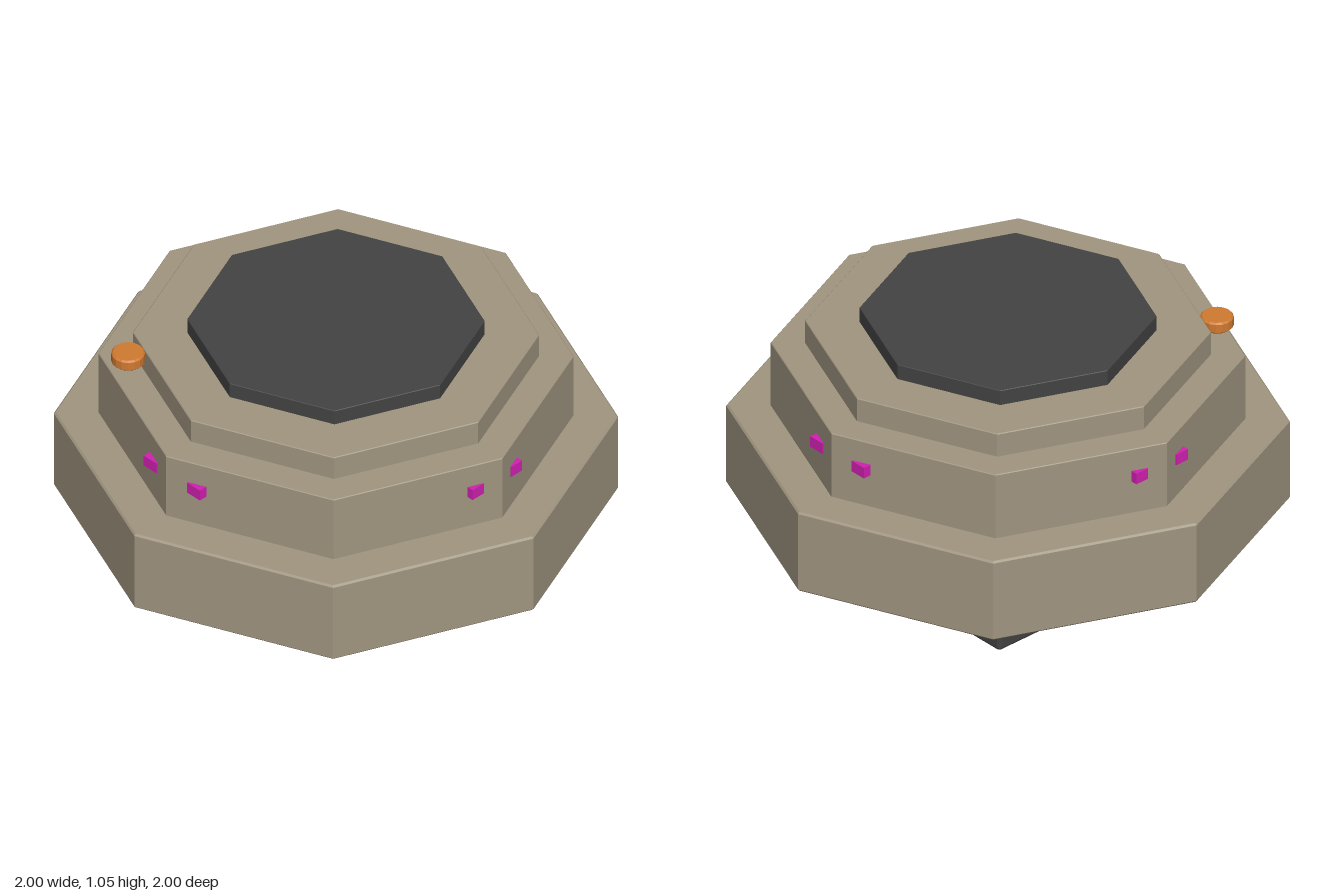
import * as THREE from 'three';
import { RoundedBoxGeometry } from 'three/addons/geometries/RoundedBoxGeometry.js';

export function createModel() {
  const model = new THREE.Group();
  const material = (name, color) => {
    const m = new THREE.MeshStandardMaterial({ color });
    m.name = name;
    return m;
  };
  const taupe = material('taupe', 0xa09580);
  const charcoal = material('charcoal', 0x434343);
  const magenta = material('magenta', 0xd020b0);
  const orange = material('orange', 0xd07a30);

  const add = (name, geometry, mat, x = 0, y = 0, z = 0) => {
    const mesh = new THREE.Mesh(geometry, mat);
    mesh.name = name;
    mesh.position.set(x, y, z);
    model.add(mesh);
  };

  // Closed turned solid with slightly chamfered rims and flat faces
  const turned = (radius, y0, y1, chamfer, sides) => {
    const profile = [
      [0, y0], [radius - chamfer, y0], [radius, y0 + chamfer],
      [radius, y1 - chamfer], [radius - chamfer, y1], [0, y1],
    ].map(([r, y]) => new THREE.Vector2(r, y));
    const geometry = new THREE.LatheGeometry(profile, sides).toNonIndexed();
    geometry.computeVertexNormals();
    return geometry;
  };

  // Square foot, neck and collar
  const slab = (name, width, y0, y1, radius, mat) =>
    add(name, new RoundedBoxGeometry(width, y1 - y0, width, 3, radius), mat, 0, (y0 + y1) / 2, 0);
  slab('foot', 0.845, 0, 0.095, 0.014, charcoal);
  slab('neck', 0.74, 0.125, 0.262, 0.025, taupe);
  slab('collar', 0.845, 0.262, 0.33, 0.012, taupe);

  // Stacked octagonal tiers, corners on the axes
  add('lowerTier', turned(1, 0.3, 0.63, 0.007, 8), taupe);
  add('middleTier', turned(0.842, 0.625, 0.895, 0.003, 8), taupe);
  add('upperTier', turned(0.72, 0.89, 0.99, 0.003, 8), taupe);
  add('topPlate', turned(0.527, 0.985, 1.05, 0.002, 8), charcoal);

  // Pairs of small lights around the middle tier
  for (const side of [-1, 1]) {
    for (const end of [-1, 1]) {
      add('endLight', new THREE.BoxGeometry(0.056, 0.044, 0.05), magenta, side * 0.095, 0.783, end * 0.792);
      add('sideLight', new THREE.BoxGeometry(0.05, 0.044, 0.065), magenta, end * 0.79, 0.783, side * 0.11);
    }
  }

  // Round button beside the upper tier
  add('button', turned(0.06, 0.945, 0.99, 0.006, 16), orange, -0.6, 0, -0.44);

  return model;
}
